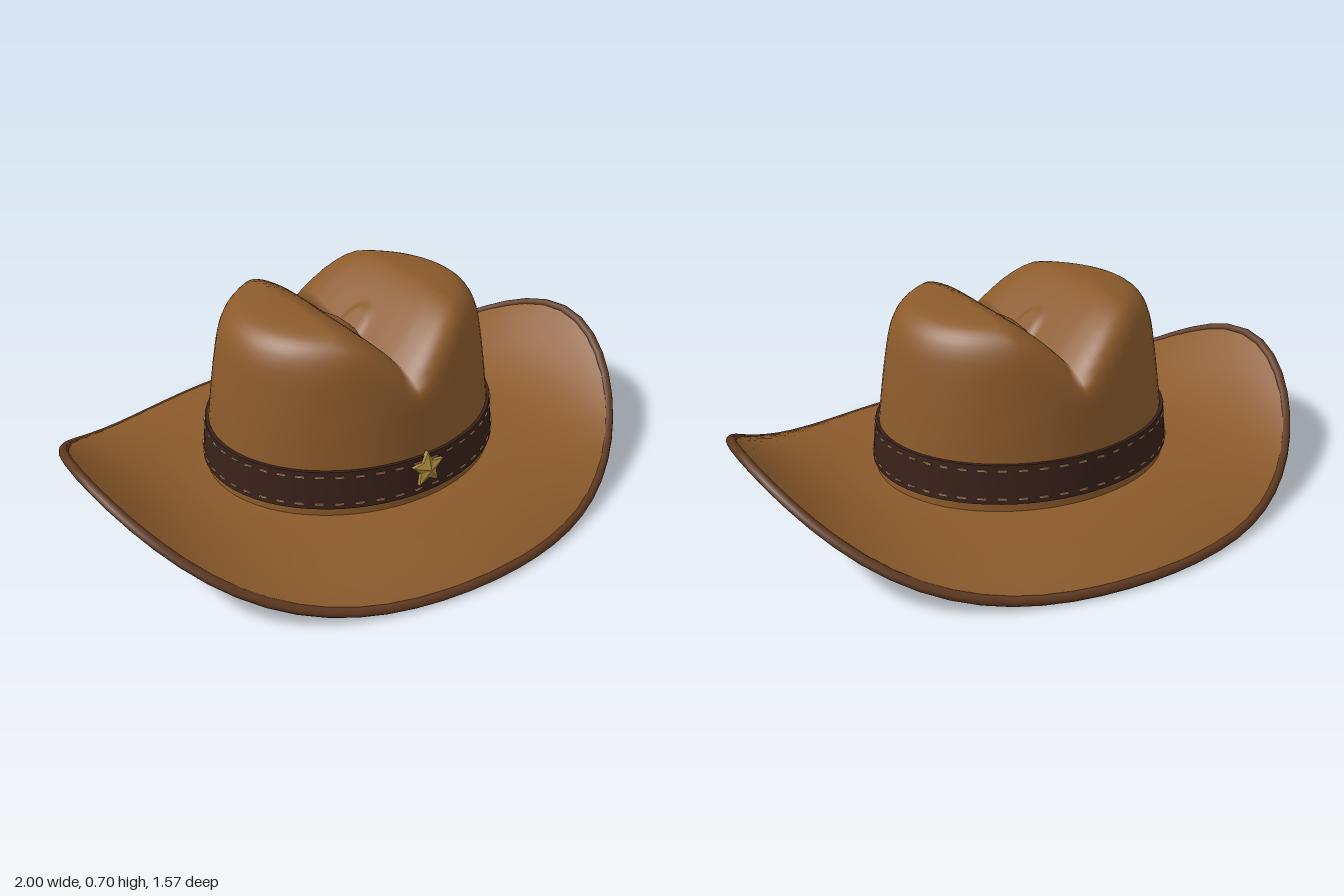
import * as THREE from 'three';
import { mergeGeometries, toCreasedNormals } from 'three/addons/utils/BufferGeometryUtils.js';
import { ParametricGeometry } from 'three/addons/geometries/ParametricGeometry.js';

const OVAL = 0.85; // depth of the head oval relative to its width
const { smoothstep } = THREE.MathUtils;

function addMesh(group, name, geometry, color, options = {}) {
  const mesh = new THREE.Mesh(geometry, new THREE.MeshStandardMaterial({ color, ...options }));
  mesh.name = name;
  group.add(mesh);
  return mesh;
}

// Crown: oval turned profile, with a V crease pressed in along z
const crownProfile = new THREE.SplineCurve([
  [0.002, 0.705], [0.1, 0.705], [0.2, 0.705], [0.3, 0.7], [0.39, 0.675], [0.44, 0.61],
  [0.468, 0.48], [0.495, 0.28], [0.507, 0.15], [0.51, 0.095],
].map(([r, y]) => new THREE.Vector2(r, y)));

function crownPoint(u, v, target) {
  const a = u * Math.PI * 2;
  const p = crownProfile.getPoint(v);
  const x = p.x * Math.cos(a);
  const crease = Math.pow(Math.max(0, 1 - Math.abs(x) / 0.22), 1.4);
  const depth = 0.165 * crease * smoothstep(p.y, 0.42, 0.72);
  const button = 0.02 * (1 - smoothstep(p.x, 0.04, 0.09));
  target.set(x, p.y - depth + button, p.x * Math.sin(a) * OVAL);
}

// Brim: t runs from the head opening to the edge; sides curl up, front and back dip
function brimPoint(angle, t, target) {
  const c = Math.cos(angle), s = Math.sin(angle);
  const rise = -0.09 + 0.327 * c ** 4;
  return target.set(
    THREE.MathUtils.lerp(0.508, 0.985, t) * c,
    0.108 + rise * Math.pow(t, 2.1),
    THREE.MathUtils.lerp(0.508 * OVAL, 0.772, t) * s,
  );
}

function brimSide(side) {
  return new ParametricGeometry((u, v, target) => {
    brimPoint(side * u * Math.PI * 2, v, target);
    target.y += side * 0.012;
  }, 48, 14);
}

// Ten-sided cone or cylinder pinched into a five-pointed star facing +z
function starShape(geometry) {
  const pos = geometry.attributes.position;
  for (let i = 0; i < pos.count; i++) {
    const step = Math.round(Math.atan2(pos.getX(i), pos.getZ(i)) / (Math.PI / 5));
    const k = step % 2 === 0 ? 0.5 : 1;
    pos.setX(i, pos.getX(i) * k);
    pos.setZ(i, pos.getZ(i) * k);
  }
  geometry.rotateX(Math.PI / 2);
  geometry.computeVertexNormals();
  return geometry;
}

export function createModel() {
  const hat = new THREE.Group();
  hat.name = 'wideBrimHat';

  addMesh(hat, 'crown', new ParametricGeometry(crownPoint, 64, 40), 0x8b5a2b, { side: THREE.DoubleSide });
  addMesh(hat, 'brimTop', brimSide(1), 0x8b5a2b);
  addMesh(hat, 'brimUnderside', brimSide(-1), 0x5c3a21);

  // Rolled binding along the brim edge
  const edge = [];
  for (let i = 0; i < 48; i++) edge.push(brimPoint(i / 48 * Math.PI * 2, 1, new THREE.Vector3()));
  const edgeCurve = new THREE.CatmullRomCurve3(edge, true);
  addMesh(hat, 'brimBinding', new THREE.TubeGeometry(edgeCurve, 64, 0.016, 8, true), 0x5e3820);

  // Band: oval ring through the crown wall, showing inside and outside
  const bandProfile = [[0.52, 0.15], [0.507, 0.28], [0.485, 0.28], [0.498, 0.15], [0.52, 0.15]];
  const band = new THREE.LatheGeometry(bandProfile.map(([r, y]) => new THREE.Vector2(r, y)), 64);
  band.scale(1, 1, OVAL);
  addMesh(hat, 'hatBand', toCreasedNormals(band, 0.6), 0x3a211a);

  // Two rows of stitches around the band
  const stitches = [];
  for (const y of [0.168, 0.262]) {
    const r = 0.52 - (y - 0.15) * 0.1;
    for (let i = 0; i < 48; i++) {
      const a = (i + 0.5) / 48 * Math.PI * 2;
      const stitch = new THREE.BoxGeometry(0.028, 0.005, 0.006);
      stitch.rotateY(Math.atan2(Math.cos(a) * OVAL, Math.sin(a)));
      stitch.translate(r * Math.cos(a), y, r * Math.sin(a) * OVAL);
      stitches.push(stitch);
    }
  }
  addMesh(hat, 'bandStitches', mergeGeometries(stitches), 0xb08d5f);

  // Faceted star badge on the front
  const badge = new THREE.Group();
  badge.name = 'starBadge';
  badge.position.set(0, 0.235, 0.438);
  badge.rotation.x = -0.08;
  hat.add(badge);
  const gold = 0xa8873e;
  addMesh(badge, 'starBase', starShape(new THREE.CylinderGeometry(0.062, 0.062, 0.016, 10)), gold, { flatShading: true });
  const face = addMesh(badge, 'starFace', starShape(new THREE.ConeGeometry(0.062, 0.016, 10, 1, true)), gold, { flatShading: true });
  face.position.z = 0.016;

  return hat;
}
